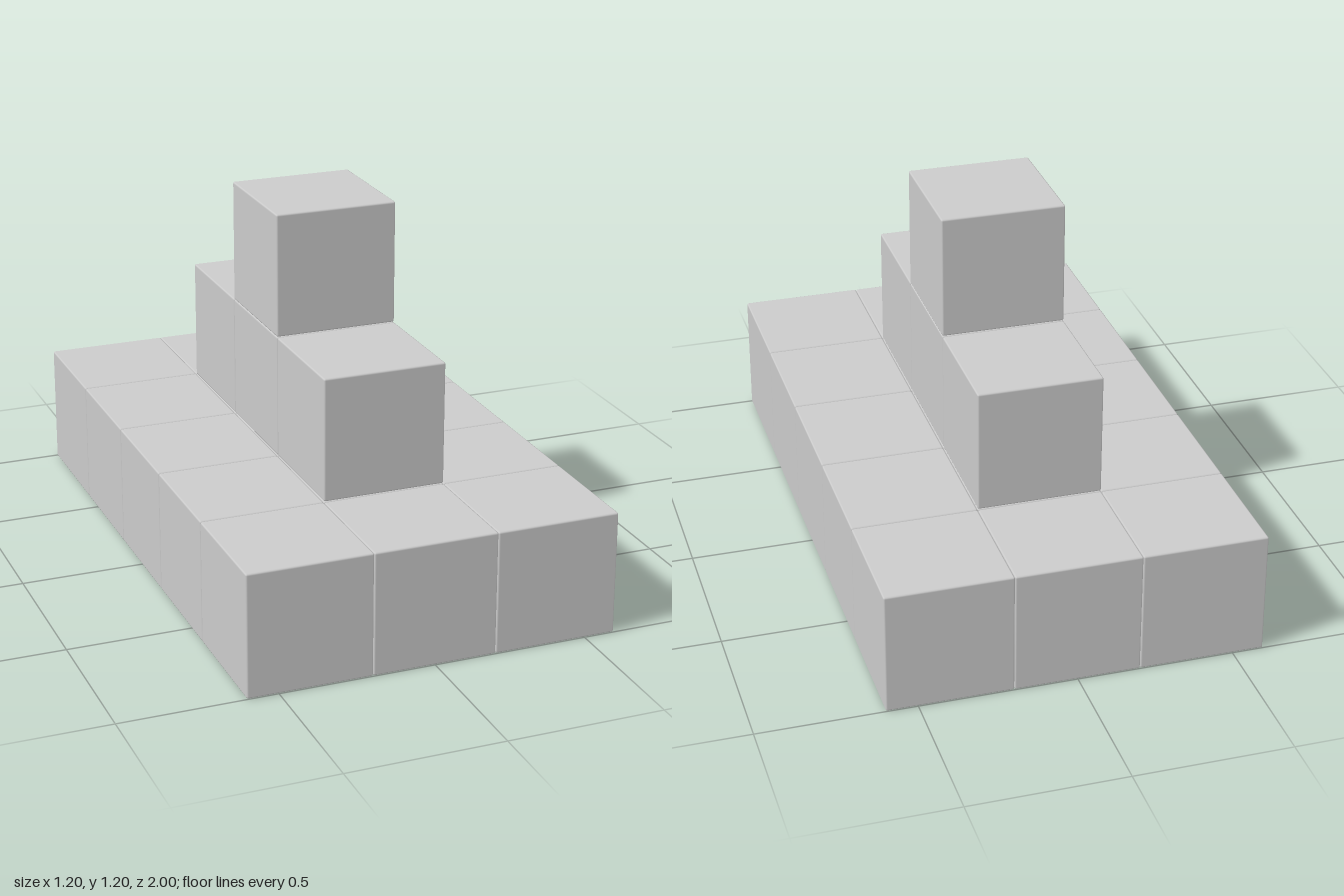
import * as THREE from 'three';
import { RoundedBoxGeometry } from 'three/addons/geometries/RoundedBoxGeometry.js';

const SIZE = 0.4;

export function createModel() {
  const model = new THREE.Group();
  model.name = 'steppedBlocks';
  const material = new THREE.MeshStandardMaterial({ color: 0xcccccc });
  // one cube with finely softened edges, shared by all blocks
  const block = new RoundedBoxGeometry(SIZE, SIZE, SIZE, 1, 0.006);

  // tiers from the ground up: blocks across x and along z
  const tiers = [
    { name: 'baseBlock', across: 3, along: 5 },
    { name: 'middleBlock', across: 1, along: 3 },
    { name: 'topBlock', across: 1, along: 1 },
  ];

  tiers.forEach(({ name, across, along }, level) => {
    const tier = new THREE.Group();
    tier.name = name + 'Tier';
    for (let i = 0; i < across; i++) {
      for (let k = 0; k < along; k++) {
        const mesh = new THREE.Mesh(block, material);
        mesh.name = name;
        mesh.position.set(
          (i - (across - 1) / 2) * SIZE,
          (level + 0.5) * SIZE,
          (k - (along - 1) / 2) * SIZE
        );
        tier.add(mesh);
      }
    }
    model.add(tier);
  });
  return model;
}
